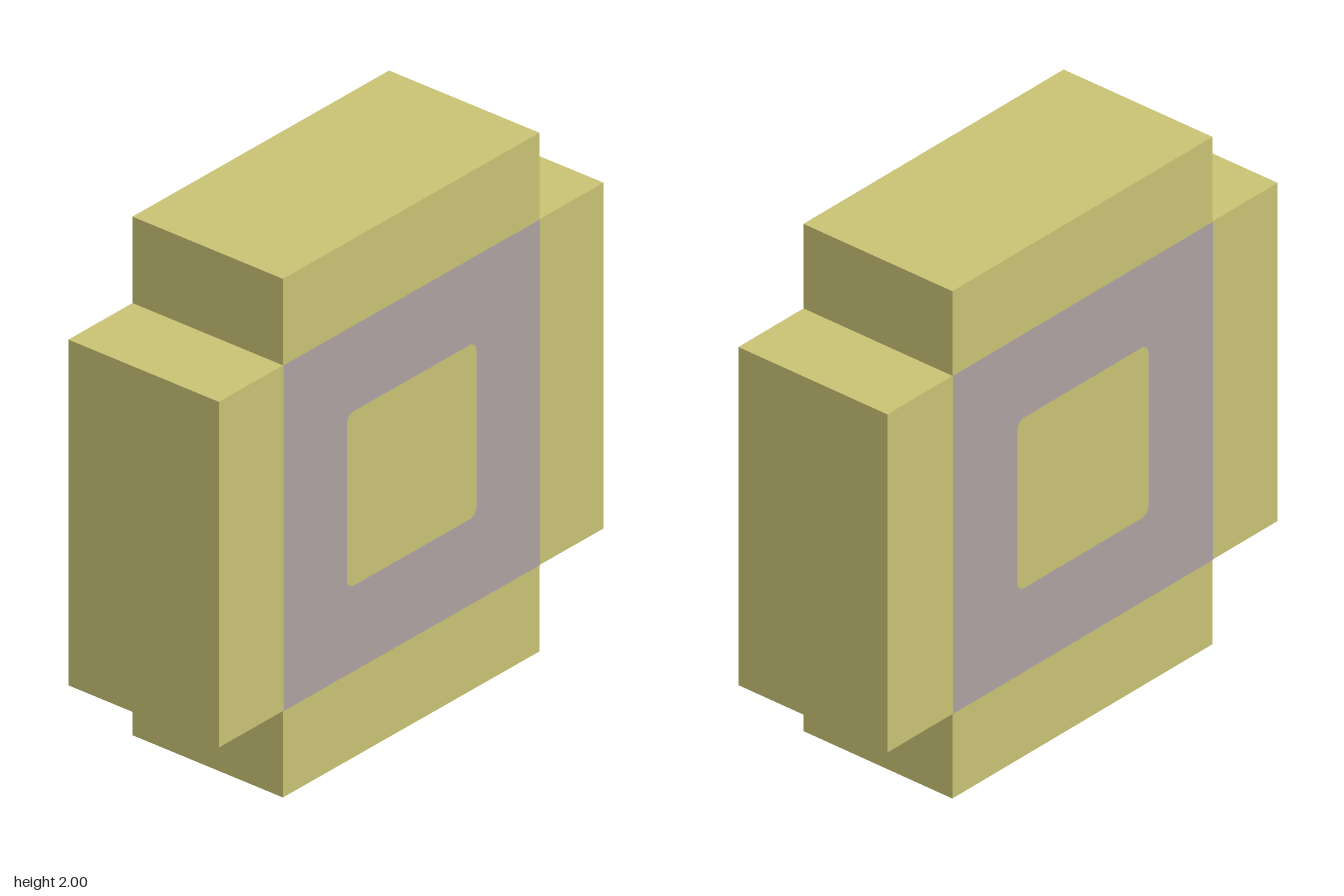
import * as THREE from 'three';

const OUTER = 1, INNER = 2 / 3, HOLE = 0.336, RADIUS = 0.035, DEPTH = 2 / 3;

// Rounded square outline centred on the origin
function roundedSquare(h, r) {
  const path = new THREE.Path();
  path.moveTo(h, -h + r);
  path.absarc(h - r, h - r, r, 0, Math.PI / 2);
  path.absarc(-h + r, h - r, r, Math.PI / 2, Math.PI);
  path.absarc(-h + r, -h + r, r, Math.PI, Math.PI * 1.5);
  path.absarc(h - r, -h + r, r, Math.PI * 1.5, Math.PI * 2);
  return path;
}

export function createModel() {
  const yellow = new THREE.MeshStandardMaterial({ color: 0xc9c174 });
  yellow.name = 'khakiYellow';
  const mauve = new THREE.MeshStandardMaterial({ color: 0xada1a1 });
  mauve.name = 'greyMauve';
  const group = new THREE.Group();
  group.name = 'crossBlock';

  // Solid body: a square with its corners notched out
  const cross = new THREE.Shape();
  for (let i = 0; i < 4; i++) {
    const c = Math.round(Math.cos(i * Math.PI / 2)), s = Math.round(Math.sin(i * Math.PI / 2));
    for (const [x, y] of [[OUTER, -INNER], [OUTER, INNER], [INNER, INNER]]) {
      const px = x * c - y * s, py = x * s + y * c;
      if (cross.curves.length === 0 && i === 0 && y < 0) cross.moveTo(px, py);
      else cross.lineTo(px, py);
    }
  }
  cross.closePath();
  const bodyGeometry = new THREE.ExtrudeGeometry(cross, { depth: DEPTH, bevelEnabled: false });
  bodyGeometry.translate(0, 1, -DEPTH / 2);
  const body = new THREE.Mesh(bodyGeometry, yellow);
  body.name = 'crossBody';
  group.add(body);

  // Painted square frame with a rounded opening, front and back
  const frame = new THREE.Shape([
    new THREE.Vector2(-INNER, -INNER), new THREE.Vector2(INNER, -INNER),
    new THREE.Vector2(INNER, INNER), new THREE.Vector2(-INNER, INNER),
  ]);
  frame.holes.push(roundedSquare(HOLE, RADIUS));
  const frameGeometry = new THREE.ShapeGeometry(frame, 8);
  for (const side of [1, -1]) {
    const panel = new THREE.Mesh(frameGeometry, mauve);
    panel.name = side > 0 ? 'frontFrame' : 'backFrame';
    panel.position.set(0, 1, side * (DEPTH / 2 + 0.002));
    if (side < 0) panel.rotation.y = Math.PI;
    group.add(panel);
  }
  return group;
}
